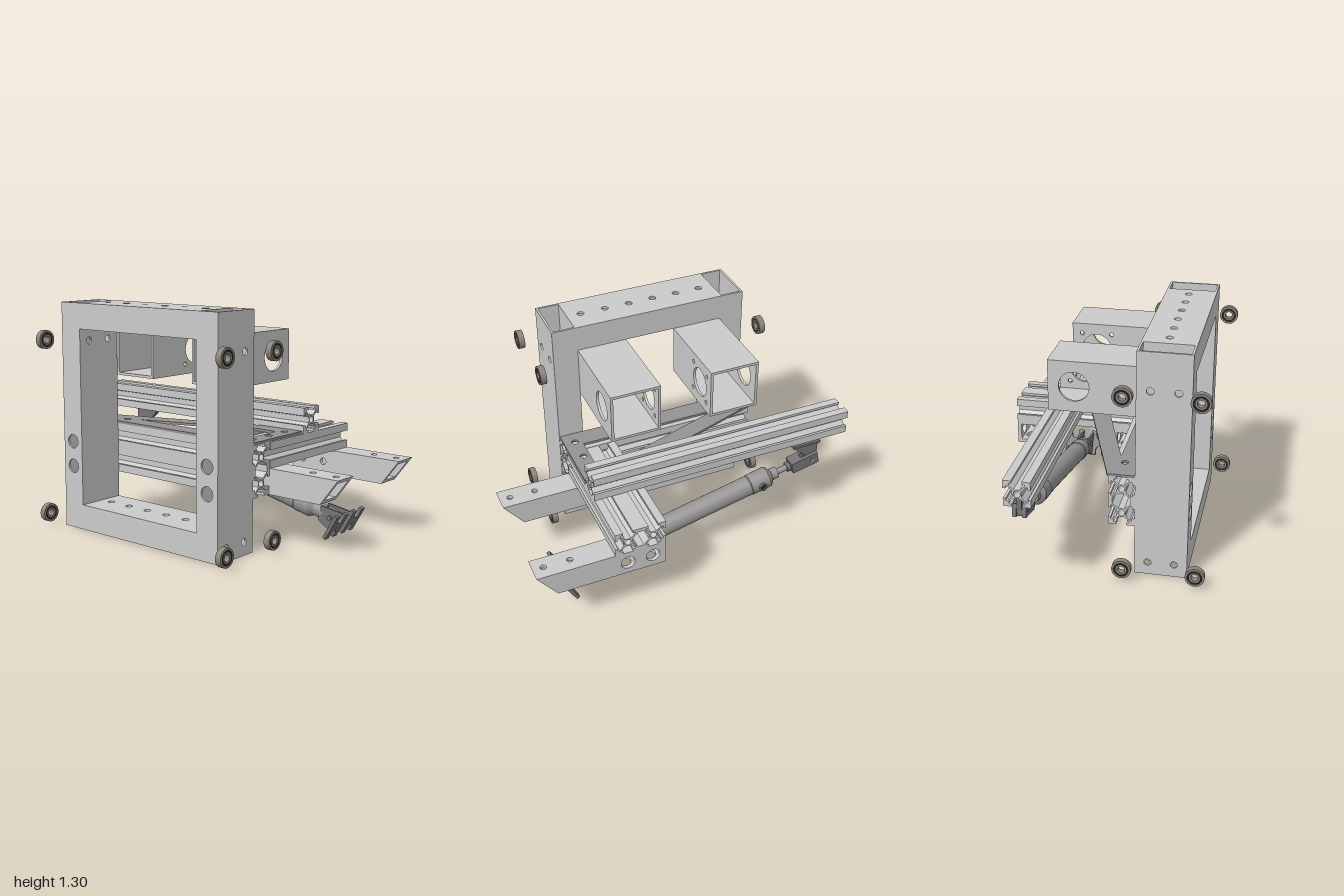
import * as THREE from 'three';

const mat = (color) => new THREE.MeshStandardMaterial({ color, side: THREE.DoubleSide });
const alu = mat(0xcccccc), steel = mat(0x949292), dark = mat(0x777575), ring = mat(0x8c857c), black = mat(0x222222);
const H = Math.PI / 2;

function mesh(name, geo, material, parent, x = 0, y = 0, z = 0) {
  const m = new THREE.Mesh(geo, material);
  m.name = name;
  m.position.set(x, y, z);
  parent.add(m);
  return m;
}

function circle(x, y, r) {
  return new THREE.Path().absarc(x, y, r, 0, Math.PI * 2, true);
}

// Flat plate from outline points, with round holes [x, y, r]
function plate(pts, depth, holes = []) {
  const s = new THREE.Shape(pts.map((p) => new THREE.Vector2(...p)));
  for (const h of holes) s.holes.push(circle(...h));
  return new THREE.ExtrudeGeometry(s, { depth, bevelEnabled: false, curveSegments: 14 });
}

const rect = (w, h) => [[-w / 2, -h / 2], [w / 2, -h / 2], [w / 2, h / 2], [-w / 2, h / 2]];

// Hollow rectangular tube along x; holes per wall; cut slants the +x end back at the bottom
function tube(name, parent, L, h, d, t, holes = {}, cut = 0) {
  const g = new THREE.Group();
  g.name = name;
  const flat = (list = []) => list.map(([x, z, r]) => [x, -z, r]);
  const walls = {
    top: plate(rect(L, d), t, flat(holes.top)).rotateX(-H).translate(0, h / 2 - t, 0),
    bottom: plate(rect(L, d), t, flat(holes.bottom)).rotateX(-H).translate(0, -h / 2, 0),
    front: plate(rect(L, h - 2 * t), t, holes.front).translate(0, 0, d / 2 - t),
    back: plate(rect(L, h - 2 * t), t, holes.back).translate(0, 0, -d / 2),
  };
  for (const key in walls) {
    const p = walls[key].attributes.position;
    for (let i = 0; cut && i < p.count; i++)
      if (p.getX(i) > L / 2 - 1e-4) p.setX(i, L / 2 - cut * (0.5 - p.getY(i) / h));
    walls[key].computeVertexNormals();
    mesh(key + 'Wall', walls[key], alu, g);
  }
  parent.add(g);
  return g;
}

// Slotted aluminium profile: n square cells in a row, extruded along z and centred
const C = 0.145;
function profile(n, L) {
  const half = [[0.028, 0], [0.028, 0.015], [0.042, 0.015], [0.042, 0.025], [0.016, 0.048]];
  const slot = [...half.map(([u, d]) => [-u, d]), ...half.slice().reverse()];
  const W = n * C / 2, B = C / 2, pts = [];
  const edge = (count, map) => {
    for (let i = 0; i < count; i++)
      for (const [u, d] of slot) pts.push(map((i - (count - 1) / 2) * C + u, d));
  };
  pts.push([-W, -B]); edge(n, (u, d) => [u, -B + d]);
  pts.push([W, -B]); edge(1, (u, d) => [W - d, u]);
  pts.push([W, B]); edge(n, (u, d) => [-u, B - d]);
  pts.push([-W, B]); edge(1, (u, d) => [-W + d, -u]);
  const s = new THREE.Shape(pts.map((p) => new THREE.Vector2(...p)));
  for (let i = 0; i < n; i++) s.holes.push(circle((i - (n - 1) / 2) * C, 0, 0.018));
  if (n === 2) {
    const hollow = [[0.018, 0.05], [0.046, 0.016], [0.046, -0.016], [0.018, -0.05], [-0.018, -0.05], [-0.046, -0.016], [-0.046, 0.016], [-0.018, 0.05]];
    s.holes.push(new THREE.Path(hollow.map((p) => new THREE.Vector2(...p))));
  }
  return new THREE.ExtrudeGeometry(s, { depth: L, bevelEnabled: false, curveSegments: 10 }).translate(0, 0, -L / 2);
}

// Turned part along x from [position, radius] points
function turned(pts) {
  const out = [];
  pts.forEach(([s, r], i) => {
    out.push(new THREE.Vector2(r, s));
    if (i && i < pts.length - 1) out.push(new THREE.Vector2(r, s));
  });
  const segs = new THREE.LatheGeometry(out, 32);
  return segs.rotateZ(-H);
}

// Flat-sided ring along x
function washer(rIn, rOut, w) {
  const s = new THREE.Shape().absarc(0, 0, rOut, 0, Math.PI * 2);
  s.holes.push(circle(0, 0, rIn));
  return new THREE.ExtrudeGeometry(s, { depth: w, bevelEnabled: false, curveSegments: 28 }).translate(0, 0, -w / 2).rotateY(H);
}

export function createModel() {
  const root = new THREE.Group();
  root.name = 'slidingCarriage';

  // Upright frame of rectangular tubes
  const sideHoles = [0.436, -0.576].flatMap((x) => [[x, 0.074, 0.02], [x, -0.071, 0.02]]);
  for (const x of [-0.5175, 0.49]) {
    const post = tube('framePost', root, 1.3, C, 0.29, 0.012, {
      top: sideHoles, bottom: sideHoles,
      front: [[-0.142, 0, 0.04], [-0.286, 0, 0.04]], back: [[-0.142, 0, 0.02], [-0.286, 0, 0.02]],
    });
    post.rotation.z = H;
    post.position.set(x, 0.65, 0.395);
  }
  const beamHoles = [0, 1, 2, 3, 4, 5].map((i) => [-0.358 + i * 0.144, -0.01, 0.02]);
  for (const y of [0.0725, 1.2275])
    tube('frameBeam', root, 0.863, C, 0.29, 0.012, { top: beamHoles, bottom: beamHoles }).position.set(-0.0137, y, 0.395);

  // Bearings beside the posts
  for (const x of [-0.675, 0.654]) for (const y of [0.074, 1.086]) for (const z of [0.595, 0.197]) {
    const b = new THREE.Group();
    b.name = 'bearing';
    mesh('outerRing', washer(0.042, 0.053, 0.035), ring, b);
    mesh('seal', washer(0.03, 0.042, 0.03), black, b);
    mesh('innerRing', washer(0.02, 0.03, 0.035), ring, b);
    b.position.set(x, y, z);
    root.add(b);
  }

  // Square motor tubes with a large bore and four screw holes on the inner wall
  for (const s of [-1, 1]) {
    const bore = [[-0.109, 0, 0.083]];
    const screws = [-1, 1].flatMap((a) => [-1, 1].map((b) => [-0.109 + a * 0.085, b * 0.085, 0.012]));
    const inner = [...bore, ...screws];
    const m = tube('motorTube', root, 0.5, 0.286, 0.286, 0.015,
      s > 0 ? { front: inner, back: bore } : { front: bore, back: inner });
    m.rotation.y = -H;
    m.position.set(-0.0125 + s * 0.289, 1.0125, 0);
  }

  // Slotted profiles
  mesh('crossBar', profile(2, 1.15), alu, root, -0.0145, 0.4375, 0.1775).rotation.set(0, H, H);
  mesh('sideBar', profile(2, 0.75), alu, root, 0.42, 0.5075, -0.27);
  mesh('topBar', profile(1, 1.565), alu, root, -0.2175, 0.6525, -0.2725).rotation.y = H;

  // Lower square tubes with slanted ends
  for (const z of [0.0325, -0.5725]) {
    const big = [-0.2875, -0.1425].map((x) => [x, 0, 0.04]);
    const small = [-0.2875, -0.1425].map((x) => [x, 0, 0.02]);
    const ends = [0.1575, 0.3025].map((x) => [x, 0, 0.017]);
    tube('armTube', root, 0.725, C, C, 0.022,
      { top: [...small, ...ends], bottom: [...big, ends[0]], back: big, front: small }, 0.11).position.set(0.6375, 0.3625, z);
  }

  // Triangular gusset plate
  const outline = [[-0.59, -0.25], [0.56, -0.25], [0.56, 0.19], [0.29, 0.19], [-0.59, -0.1]];
  const gs = new THREE.Shape(outline.map((p) => new THREE.Vector2(...p)));
  gs.holes.push(new THREE.Path([[-0.375, -0.135], [0.33, 0.092], [0.455, 0.085], [0.455, -0.135]].map((p) => new THREE.Vector2(...p))));
  for (const [x, z] of [[-0.445, 0.17], [0.495, -0.117], [0.495, 0.027], [0.495, 0.17]]) gs.holes.push(circle(x, -z, 0.02));
  mesh('gussetPlate', new THREE.ExtrudeGeometry(gs, { depth: 0.014, bevelEnabled: false }).rotateX(-H), steel, root, 0, 0.582, 0);

  // Air cylinder, tilted between its two brackets
  const cyl = new THREE.Group();
  cyl.name = 'airCylinder';
  cyl.position.set(-0.783, 0.444, -0.318);
  cyl.rotation.z = -Math.atan(0.229);
  root.add(cyl);
  const cheek = plate([[-0.04, -0.036], [0.13, -0.036], [0.13, 0.036], [-0.04, 0.036]], 0.022, [[0, 0, 0.014]]);
  for (const z of [-0.038, 0.016]) mesh('forkCheek', cheek, dark, cyl, 0, 0, z);
  mesh('forkBase', new THREE.BoxGeometry(0.07, 0.072, 0.034), dark, cyl, 0.095, 0, 0);
  mesh('forkPin', new THREE.CylinderGeometry(0.014, 0.014, 0.086, 16).rotateX(H), steel, cyl);
  mesh('rodNut', new THREE.CylinderGeometry(0.03, 0.03, 0.022, 6).rotateZ(H), dark, cyl, 0.145, 0, 0);
  mesh('body', turned([[0.13, 0], [0.13, 0.018], [0.22, 0.018], [0.22, 0.034], [0.26, 0.036], [0.275, 0.055], [0.285, 0.062],
    [0.4, 0.062], [0.405, 0.058], [1.27, 0.058], [1.275, 0.062], [1.37, 0.062], [1.4, 0.042], [1.47, 0.042], [1.47, 0]]), steel, cyl);
  for (const s of [0.34, 1.32]) {
    mesh('port', washer(0.015, 0.025, 0.02).rotateY(H), dark, cyl, s, 0, -0.062);
    mesh('portBore', new THREE.CylinderGeometry(0.015, 0.015, 0.012, 16).rotateX(H), black, cyl, s, 0, -0.06);
  }
  mesh('tailLug', new THREE.BoxGeometry(0.06, 0.072, 0.05), steel, cyl, 1.49, 0, 0);
  mesh('tailEye', new THREE.CylinderGeometry(0.036, 0.036, 0.05, 24).rotateX(H), steel, cyl, 1.52, 0, 0);
  mesh('tailPin', new THREE.CylinderGeometry(0.014, 0.014, 0.1, 16).rotateX(H), dark, cyl, 1.52, 0, 0);

  // Bracket under the top bar
  mesh('rodBracketTab', plate([[-0.82, 0.42], [-0.75, 0.42], [-0.745, 0.475], [-0.67, 0.54], [-0.66, 0.58], [-0.825, 0.58]], 0.028),
    dark, root, 0, 0, -0.332);
  mesh('rodBracketFlange', new THREE.BoxGeometry(0.175, 0.015, 0.1), dark, root, -0.735, 0.5725, -0.31);

  // Tail bracket: two tabs, each with a notched flange
  const notched = new THREE.Shape();
  notched.moveTo(-0.057, -0.08).lineTo(-0.02, -0.08).lineTo(-0.02, -0.045).absarc(0, -0.045, 0.02, Math.PI, 0, true);
  notched.lineTo(0.02, -0.08).lineTo(0.057, -0.08).lineTo(0.057, 0.08).lineTo(0.024, 0.08).lineTo(0.024, 0.06);
  notched.absarc(0, 0.045, 0.02, 0, Math.PI, true);
  notched.lineTo(-0.024, 0.06).lineTo(-0.024, 0.08).lineTo(-0.057, 0.08);
  const flange = new THREE.ExtrudeGeometry(notched, { depth: 0.02, bevelEnabled: false }).rotateY(H).translate(-0.02, 0, 0).rotateZ(-0.52);
  const tab = plate([[0.62, 0.08], [0.725, 0.012], [0.8, 0.14], [0.64, 0.165]], 0.014);
  for (const s of [-1, 1]) {
    mesh('tailBracketTab', tab, dark, root, 0, 0, -0.325 + s * 0.034);
    mesh('tailBracketFlange', flange, dark, root, 0.775, 0.075, -0.318 + s * 0.083);
  }
  return root;
}
